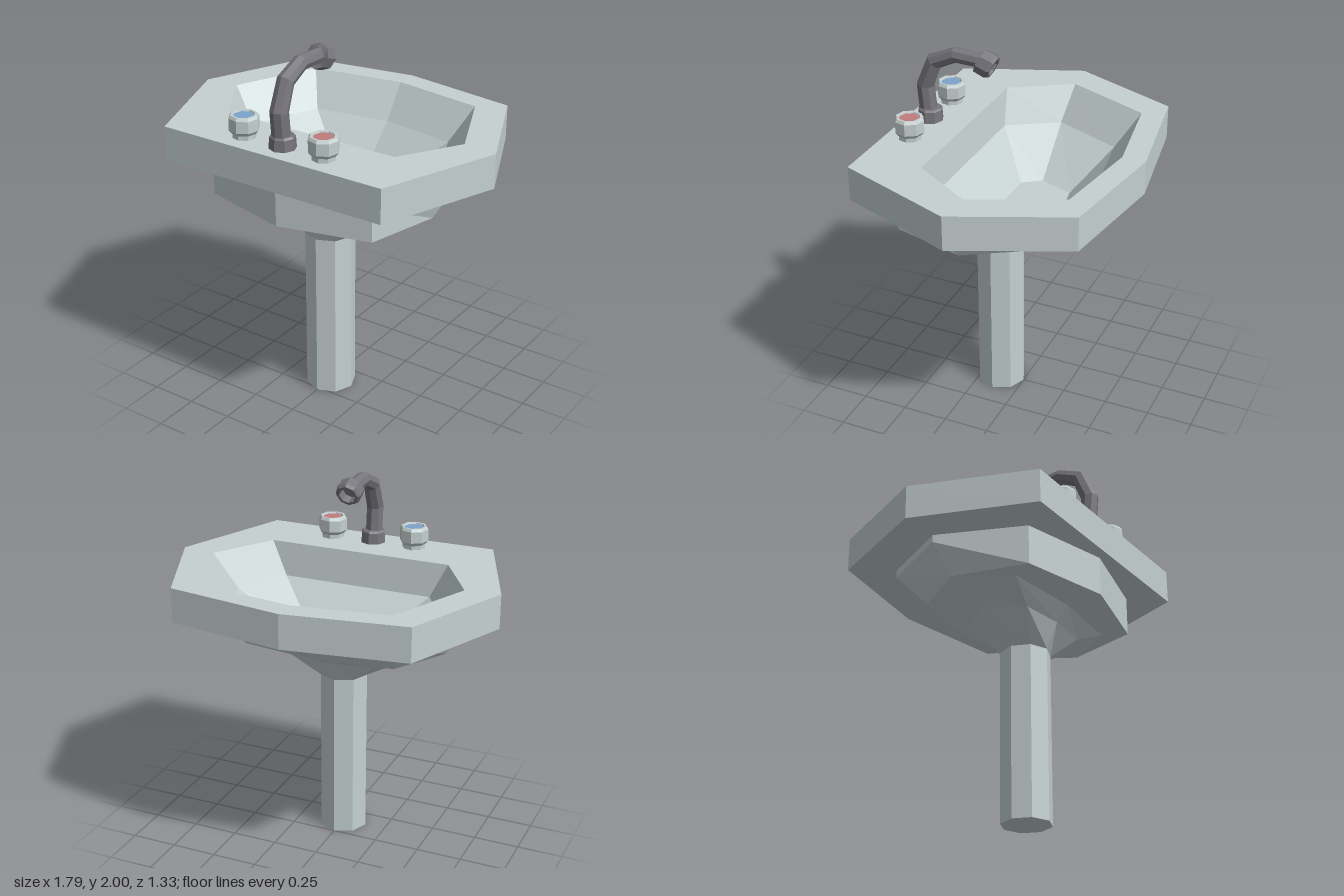
import * as THREE from 'three';

const ceramic = mat(0xc5d0d0), metal = mat(0x77757c);

function mat(color) {
  return new THREE.MeshStandardMaterial({ color, flatShading: true });
}

// Skin a list of rings (arrays of [x, y, z], equal length) and close both ends.
function loft(name, rings, material) {
  const n = rings[0].length, pos = rings.flat(2), idx = [];
  for (let r = 0; r < rings.length - 1; r++) {
    for (let i = 0; i < n; i++) {
      const j = (i + 1) % n, a = r * n, b = a + n;
      idx.push(a + i, b + i, b + j, a + i, b + j, a + j);
    }
  }
  const last = (rings.length - 1) * n;
  for (let i = 1; i < n - 1; i++) idx.push(0, i, i + 1, last, last + i + 1, last + i);
  const g = new THREE.BufferGeometry();
  g.setAttribute('position', new THREE.Float32BufferAttribute(pos, 3));
  g.setIndex(idx);
  g.computeVertexNormals();
  const mesh = new THREE.Mesh(g, material);
  mesh.name = name;
  return mesh;
}

// Mirrored eight-point outline: tap-side middle, three corners, bowl-side middle.
function outline(y, zBack, c1, c2, c3, zFront) {
  const half = [c1, c2, c3];
  return [
    [0, y, zBack], ...half.map(([x, z]) => [x, y, z]),
    [0, y, zFront], ...half.reverse().map(([x, z]) => [-x, y, z]),
  ];
}

function octagon(y, r, z) {
  return Array.from({ length: 8 }, (_, i) => {
    const a = i * Math.PI / 4;
    return [r * Math.sin(a), y, z + r * Math.cos(a)];
  });
}

// Basin: from the bowl floor up over the rim and down the underside.
function makeBasin() {
  const rim = [0.66, [0.65, 0.66], [0.895, 0.02], [0.645, -0.565], -0.665];
  const shell = [0.605, [0.49, 0.485], [0.685, 0.03], [0.49, -0.36], -0.44];
  return loft('basin', [
    outline(1.17, 0.10, [0.19, 0.10], [0.26, 0], [0.19, -0.185], -0.215),
    outline(1.37, 0.30, [0.42, 0.30], [0.585, 0.03], [0.42, -0.345], -0.41),
    outline(1.555, 0.325, [0.51, 0.325], [0.71, 0], [0.51, -0.46], -0.54),
    outline(1.555, ...rim),
    outline(1.37, ...rim),
    outline(1.37, ...shell),
    outline(1.33, ...shell),
    outline(1.155, 0.605, [0.49, 0.485], [0.595, 0.09], [0.42, -0.2], -0.26),
    outline(1.155, 0.40, [0.42, 0.36], [0.59, 0.09], [0.42, -0.2], -0.26),
    outline(1.07, 0.335, [0.24, 0.31], [0.37, 0.11], [0.24, -0.05], -0.09),
    octagon(0.935, 0.135, 0.135),
  ], ceramic);
}

// Spout: octagonal rings along a bent path in the x = 0 plane, nozzle first.
// Each row is z, y, radius, then the path direction (z, y) at that ring.
function makeSpout() {
  const rows = [
    [0.215, 1.927, 0.045, 0.9, 0.4],
    [0.165, 1.91, 0.045, 0.9, 0.4],
    [0.165, 1.91, 0.06, 0.9, 0.4],
    [0.18, 1.917, 0.07, 0.9, 0.4],
    [0.24, 1.938, 0.067, 0.9, 0.4],
    [0.24, 1.938, 0.04, 1, 0.2],
    [0.38, 1.945, 0.042, 1, -0.15],
    [0.50, 1.89, 0.046, 0.7, -0.75],
    [0.557, 1.75, 0.048, 0.12, -1],
    [0.545, 1.62, 0.048, -0.1, -1],
  ];
  return loft('spout', rows.map(([z, y, r, tz, ty]) => {
    const l = Math.hypot(tz, ty);
    return octagon(0, r, 0).map(([x, , s]) => [x, y + s * tz / l, z - s * ty / l]);
  }), metal);
}

// Octagonal knob with a foot, chamfered edges and a coloured inset disc.
function makeKnob(name, x, color) {
  const group = new THREE.Group();
  group.name = name;
  const profile = [
    [0, 0], [0.062, 0], [0.062, 0.022], [0.07, 0.03], [0.079, 0.042],
    [0.079, 0.105], [0.07, 0.12], [0.058, 0.12], [0.054, 0.11], [0, 0.11],
  ].map(([r, y]) => new THREE.Vector2(r, y));
  const body = new THREE.Mesh(new THREE.LatheGeometry(profile, 8), ceramic);
  body.name = 'knobBody';
  const disc = new THREE.Mesh(new THREE.CylinderGeometry(0.053, 0.053, 0.004, 8), mat(color));
  disc.name = 'knobDisc';
  disc.position.y = 0.111;
  group.add(body, disc);
  group.position.set(x, 1.555, 0.53);
  group.rotation.y = 0.15;
  return group;
}

export function createModel() {
  const model = new THREE.Group();
  model.name = 'pedestalSink';
  model.add(
    makeBasin(),
    loft('pedestal', [octagon(0.935, 0.135, 0.135), octagon(0, 0.135, 0.135)], ceramic),
    loft('tapBase', [
      octagon(1.625, 0.058, 0.535), octagon(1.615, 0.066, 0.535), octagon(1.555, 0.07, 0.535),
    ], metal),
    makeSpout(),
    makeKnob('coldKnob', -0.24, 0x7da3cc),
    makeKnob('hotKnob', 0.24, 0xbf7c7c),
  );
  return model;
}
